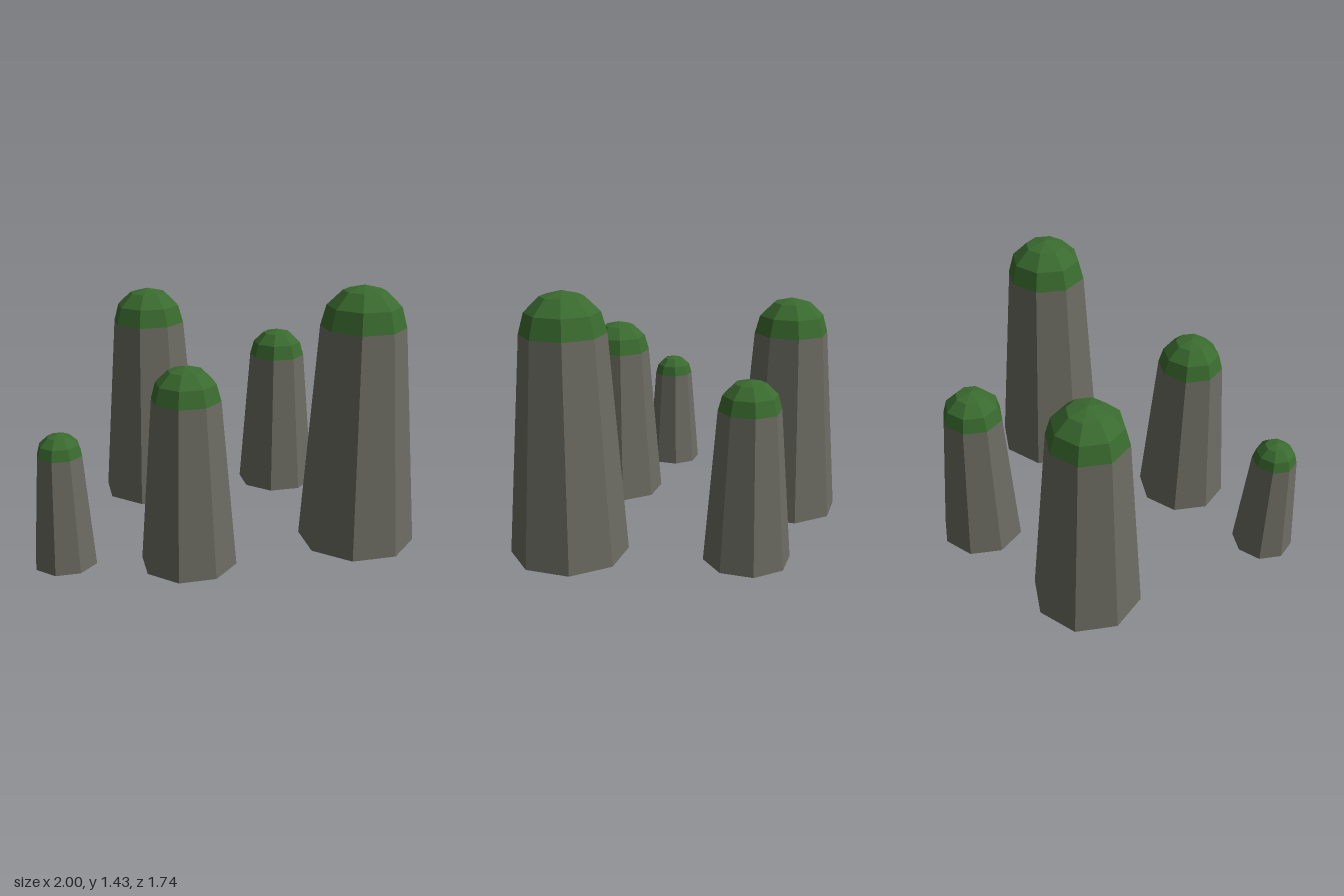
import * as THREE from 'three';

export function createModel() {
  const model = new THREE.Group();
  model.name = 'stonePillars';

  const stone = new THREE.MeshStandardMaterial({ color: 0x6b6b62, flatShading: true, side: THREE.DoubleSide });
  stone.name = 'stone';
  const moss = new THREE.MeshStandardMaterial({ color: 0x3a6b2f, flatShading: true, side: THREE.DoubleSide });
  moss.name = 'moss';

  // One tapered eight-sided column, open below, with a mossy dome on top
  function addPillar(x, z, baseRadius, columnHeight, domeHeight) {
    const topRadius = baseRadius * 0.71;
    const pillar = new THREE.Group();
    pillar.name = 'pillar';
    pillar.position.set(x, 0, z);

    const column = new THREE.Mesh(
      new THREE.CylinderGeometry(topRadius, baseRadius, columnHeight, 8, 1, true), stone);
    column.name = 'column';
    column.position.y = columnHeight / 2;

    const dome = new THREE.Mesh(
      new THREE.SphereGeometry(topRadius, 8, 3, 0, Math.PI * 2, 0, Math.PI / 2), moss);
    dome.name = 'mossCap';
    dome.scale.y = domeHeight / topRadius;
    dome.position.y = columnHeight;

    pillar.add(column, dome);
    model.add(pillar);
  }

  // x, z, base radius, column height, dome height
  [
    [0.68, 0.155, 0.32, 1.208, 0.222],
    [-0.615, -0.38, 0.3, 1.073, 0.203],
    [-0.185, 0.588, 0.256, 0.9, 0.176],
    [0.137, -0.637, 0.235, 0.83, 0.162],
    [-0.83, 0.695, 0.17, 0.606, 0.116],
  ].forEach((p) => addPillar(...p));

  return model;
}
